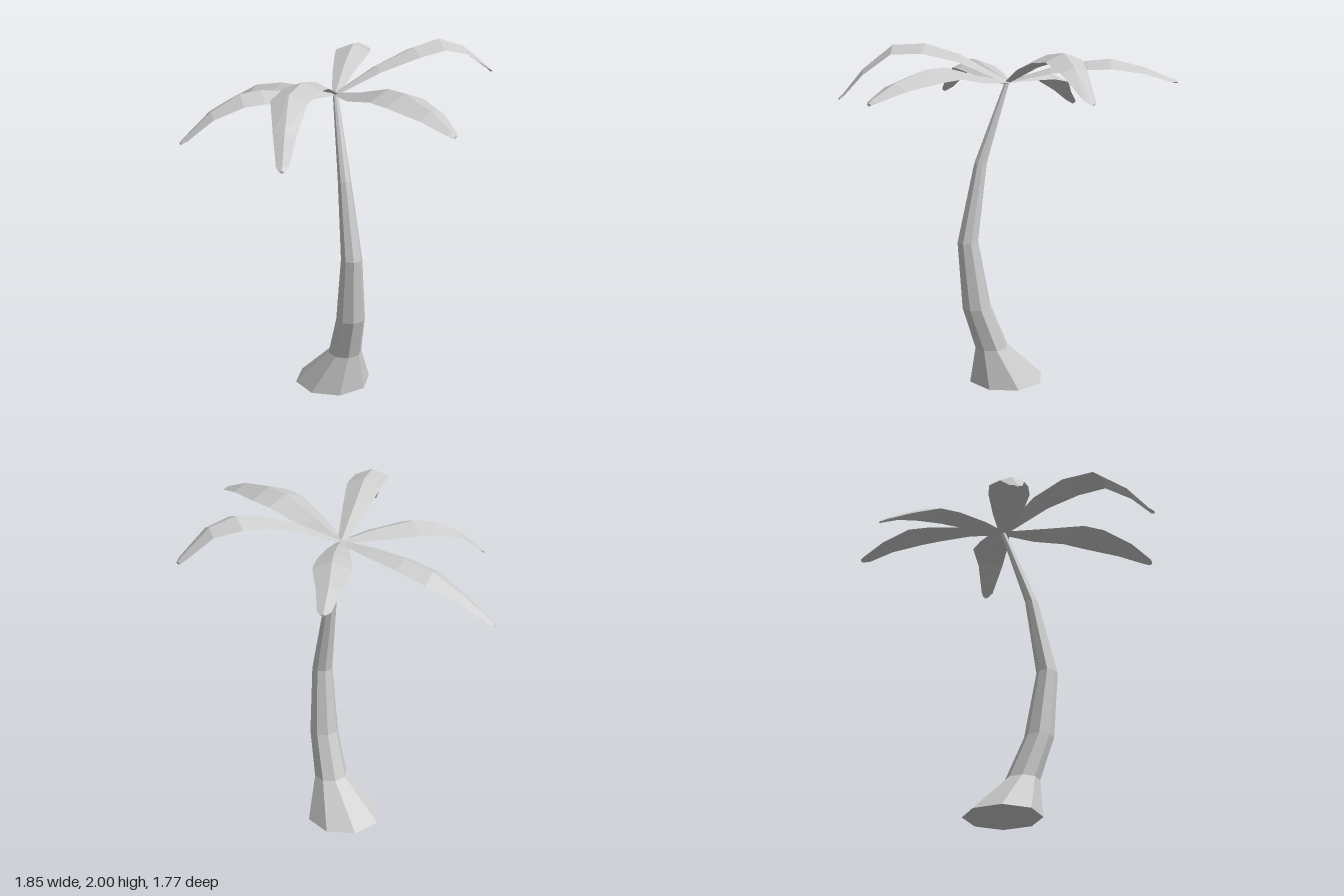
import * as THREE from 'three';

const material = new THREE.MeshStandardMaterial({ color: 0xcccccc, flatShading: true });

// Joins equal-sized rings of points into a closed, faceted solid.
function loft(rings) {
  const n = rings[0].length;
  const index = [];
  rings.forEach((_, i) => {
    if (i === rings.length - 1) return;
    for (let j = 0; j < n; j++) {
      const a = i * n + j, b = i * n + (j + 1) % n;
      index.push(a, a + n, b, b, a + n, b + n);
    }
  });
  // end caps
  const last = (rings.length - 1) * n;
  for (let j = 1; j < n - 1; j++) {
    index.push(0, j, j + 1, last, last + j + 1, last + j);
  }
  const indexed = new THREE.BufferGeometry();
  indexed.setAttribute('position', new THREE.Float32BufferAttribute(rings.flat(2), 3));
  indexed.setIndex(index);
  const geometry = indexed.toNonIndexed();
  geometry.computeVertexNormals();
  return geometry;
}

function addMesh(parent, name, geometry) {
  const mesh = new THREE.Mesh(geometry, material);
  mesh.name = name;
  parent.add(mesh);
}

// Trunk sections: x, y, z, radius
const TRUNK = [
  [-0.027, 0, -0.01, 0.218],
  [0.085, 0.227, 0.028, 0.096],
  [0.16, 0.48, 0.084, 0.083],
  [0.19, 0.865, 0.122, 0.06],
  [0.113, 1.3, 0.08, 0.037],
  [-0.016, 1.745, -0.022, 0.014],
];

function trunkGeometry() {
  return loft(TRUNK.map(([x, y, z, r]) =>
    Array.from({ length: 8 }, (_, j) => {
      const a = (j * Math.PI) / 4;
      return [x + r * Math.cos(a), y, z + r * Math.sin(a)];
    })));
}

// Frond ridge lines: x, y, z, half width; all start at the crown
const CROWN = [-0.015, 1.75, -0.025, 0.022];
const FRONDS = {
  backRightFrond: [[-0.11, 1.825, -0.24, 0.06], [-0.19, 1.865, -0.43, 0.09], [-0.24, 1.875, -0.54, 0.1],
    [-0.315, 1.83, -0.71, 0.065], [-0.365, 1.77, -0.85, 0.035], [-0.375, 1.76, -0.88, 0.014]],
  backLeftFrond: [[0.13, 1.88, -0.21, 0.06], [0.26, 1.965, -0.38, 0.09], [0.34, 1.998, -0.51, 0.105],
    [0.44, 1.95, -0.61, 0.075], [0.53, 1.82, -0.735, 0.035], [0.54, 1.795, -0.76, 0.016]],
  leftFrond: [[0.2, 1.81, 0.065, 0.085], [0.42, 1.885, 0.135, 0.125], [0.55, 1.89, 0.175, 0.128],
    [0.75, 1.85, 0.245, 0.085], [0.9, 1.785, 0.297, 0.034], [0.922, 1.77, 0.302, 0.016]],
  frontFrond: [[0.035, 1.885, 0.24, 0.075], [0.085, 1.938, 0.43, 0.1], [0.13, 1.925, 0.61, 0.098],
    [0.21, 1.79, 0.76, 0.06], [0.265, 1.65, 0.86, 0.032], [0.277, 1.63, 0.882, 0.015]],
  frontRightFrond: [[-0.13, 1.78, 0.13, 0.08], [-0.28, 1.80, 0.30, 0.115], [-0.36, 1.785, 0.38, 0.108],
    [-0.46, 1.70, 0.51, 0.065], [-0.545, 1.575, 0.625, 0.035], [-0.56, 1.55, 0.65, 0.016]],
  rightFrond: [[-0.2, 1.75, -0.04, 0.062], [-0.4, 1.735, -0.053, 0.085], [-0.57, 1.695, -0.05, 0.1],
    [-0.75, 1.585, -0.035, 0.055], [-0.9, 1.485, -0.03, 0.03], [-0.922, 1.465, -0.03, 0.015]],
};

// Each section is a shallow roof: edge, ridge, edge, underside fold.
function frondGeometry(rows) {
  const line = [CROWN, ...rows];
  return loft(line.map(([x, y, z, w], i) => {
    const p = line[Math.max(i - 1, 0)], q = line[Math.min(i + 1, line.length - 1)];
    const fx = q[0] - p[0], fz = q[2] - p[2], length = Math.hypot(fx, fz);
    const sx = (-fz / length) * w, sz = (fx / length) * w;
    const edge = y - 0.4 * w;
    return [[x + sx, edge, z + sz], [x, y, z], [x - sx, edge, z - sz], [x, y - 0.015, z]];
  }));
}

export function createModel() {
  const tree = new THREE.Group();
  tree.name = 'palmTree';
  addMesh(tree, 'trunk', trunkGeometry());

  const crown = new THREE.Group();
  crown.name = 'crown';
  for (const [name, rows] of Object.entries(FRONDS)) addMesh(crown, name, frondGeometry(rows));
  tree.add(crown);
  return tree;
}
